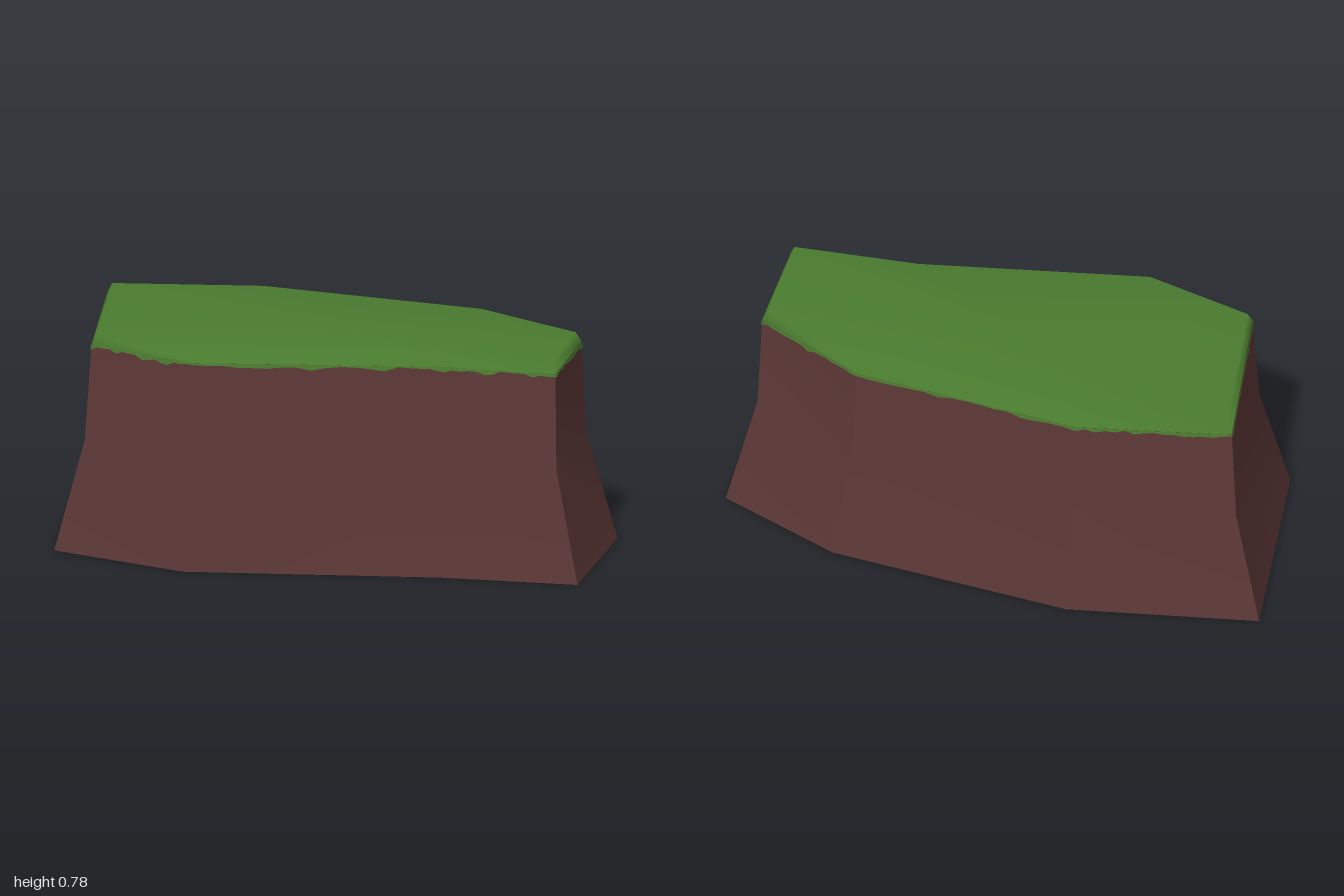
import * as THREE from 'three';
import { toCreasedNormals } from 'three/addons/utils/BufferGeometryUtils.js';

// Outlines as [x, z] corners at each height, running round from the back right corner
const RINGS = [
  { y: 0, p: [[-1, -0.45], [-0.32, -0.54], [0.56, -0.41], [1, -0.19], [0.98, 0.41], [0.49, 0.42], [-0.42, 0.535], [-0.92, 0.37]] },
  { y: 0.4, p: [[-0.9, -0.38], [-0.33, -0.465], [0.505, -0.34], [0.9, -0.125], [0.89, 0.345], [0.43, 0.35], [-0.41, 0.47], [-0.82, 0.32]] },
  { y: 0.745, p: [[-0.88, -0.36], [-0.33, -0.445], [0.495, -0.32], [0.89, -0.095], [0.88, 0.315], [0.42, 0.315], [-0.4, 0.445], [-0.8, 0.3]] },
  { y: 0.782, p: [[-0.86, -0.345], [-0.33, -0.42], [0.485, -0.3], [0.87, -0.085], [0.865, 0.295], [0.415, 0.3], [-0.4, 0.415], [-0.785, 0.285]] },
];

// Skin a stack of closed rings of [x, y, z] points, with an optional flat lid
function loft(rings, lid) {
  const n = rings[0].length, pos = rings.flat(2), index = [];
  for (let r = 0; r < rings.length - 1; r++) {
    for (let i = 0; i < n; i++) {
      const a = r * n + i, b = r * n + (i + 1) % n;
      index.push(a, a + n, b + n, a, b + n, b);
    }
  }
  if (lid) {
    const c = rings.length * n, top = c - n;
    pos.push(0, rings.at(-1)[0][1], 0);
    for (let i = 0; i < n; i++) index.push(c, top + (i + 1) % n, top + i);
  }
  const g = new THREE.BufferGeometry();
  g.setAttribute('position', new THREE.Float32BufferAttribute(pos, 3));
  g.setIndex(index);
  g.computeVertexNormals();
  return g;
}

const ring3 = (k) => RINGS[k].p.map(([x, z]) => [x, RINGS[k].y, z]);

// Ragged lower edge of the grass, hugging the walls
function fringeGeometry() {
  let seed = 7;
  const random = () => (seed = (seed * 16807) % 2147483647) / 2147483647;
  const upper = [], lower = [], steps = 16, push = 1.004;
  const hi = RINGS[2], lo = RINGS[1];
  for (let i = 0; i < 8; i++) {
    const j = (i + 1) % 8;
    for (let s = 0; s < steps; s++) {
      const t = s / steps;
      const at = (ring, k) => THREE.MathUtils.lerp(ring.p[i][k], ring.p[j][k], t);
      const drop = 0.006 + 0.018 * random() * random() + 0.004 * Math.sin(i * 2 + t * 6);
      const d = Math.max(drop, 0.003), f = d / (hi.y - lo.y);
      const down = (k) => THREE.MathUtils.lerp(at(hi, k), at(lo, k), f) * push;
      upper.push([at(hi, 0) * 1.002, hi.y, at(hi, 1) * 1.002]);
      lower.push([down(0), hi.y - d, down(1)]);
    }
  }
  return loft([lower, upper], false);
}

export function createModel() {
  const group = new THREE.Group();
  const earth = new THREE.MeshStandardMaterial({ color: 0x5c3836, side: THREE.DoubleSide });
  earth.name = 'earth brown';
  const grass = new THREE.MeshStandardMaterial({ color: 0x4a7c2f, side: THREE.DoubleSide });
  grass.name = 'grass green';

  const add = (name, geometry, material) => {
    const mesh = new THREE.Mesh(geometry, material);
    mesh.name = name;
    group.add(mesh);
  };

  // Flared cliff walls, open underneath
  const walls = loft([ring3(0), ring3(1), ring3(2)], false);
  add('cliffWalls', toCreasedNormals(walls, THREE.MathUtils.degToRad(16.5)), earth);

  // Softly bevelled turf and its uneven edge
  add('grassTop', loft([ring3(2), ring3(3)], true), grass);
  add('grassFringe', fringeGeometry(), grass);
  return group;
}
